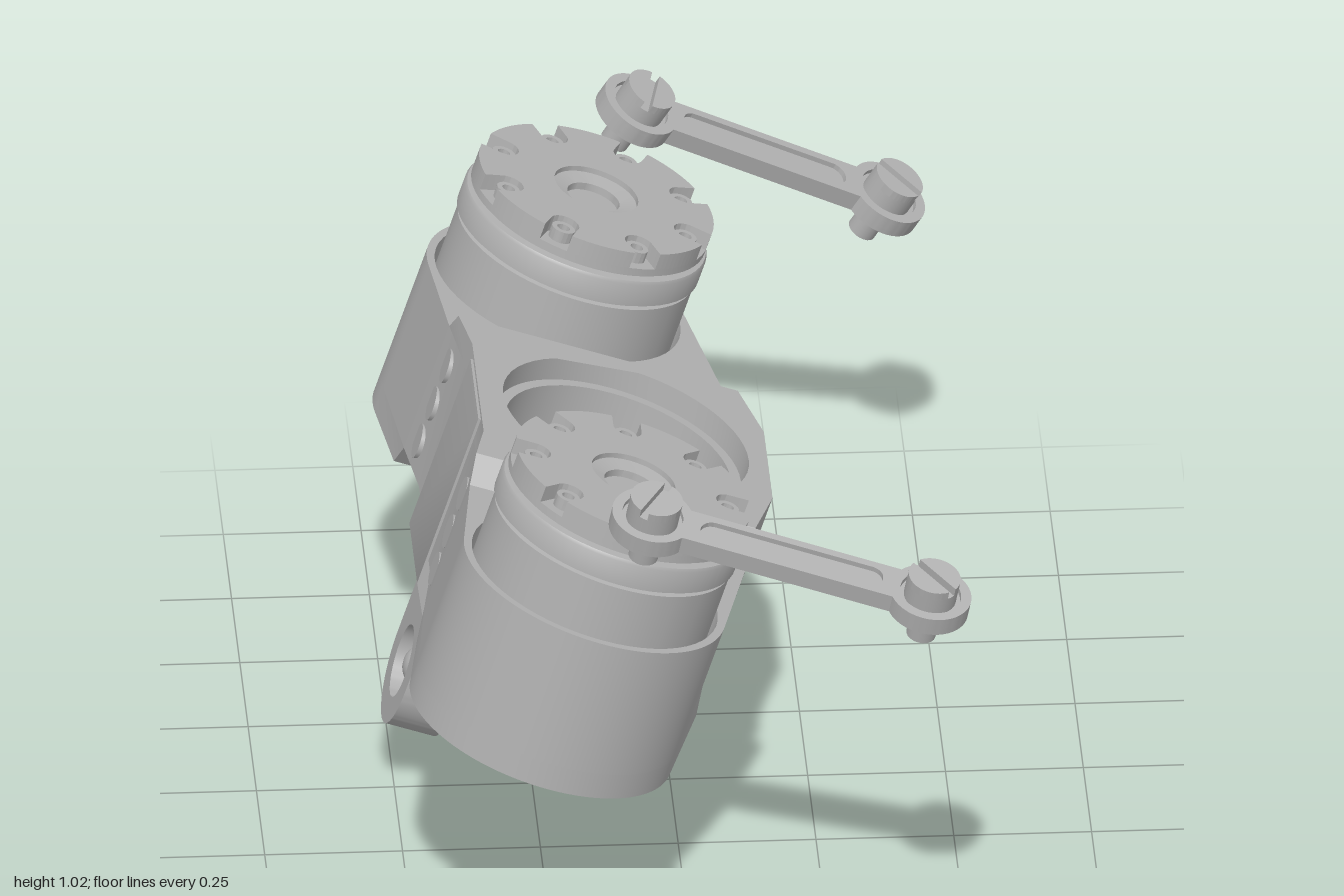
import * as THREE from 'three';
import { toCreasedNormals } from 'three/addons/utils/BufferGeometryUtils.js';

const grey = new THREE.MeshStandardMaterial({ color: 0xb0b0b0 });
grey.name = 'machined grey';

const TILT = 18.5 * Math.PI / 180;
const MOTOR_X = -0.382, MOTOR_Z = 0.56;

function add(parent, name, geometry, x = 0, y = 0, z = 0) {
  const m = new THREE.Mesh(geometry, grey);
  m.name = name;
  m.position.set(x, y, z);
  parent.add(m);
  return m;
}

function circle(x, y, r) {
  const p = new THREE.Path();
  p.absarc(x, y, r, 0, Math.PI * 2);
  return p;
}

function polygon(points) {
  return new THREE.Shape(points.map(([x, y]) => new THREE.Vector2(x, y)));
}

// Plan shape (x, -z) raised from y0 to y1; an optional rule moves vertices
function slab(shape, y0, y1, rule) {
  const g = new THREE.ExtrudeGeometry(shape, { depth: y1 - y0, bevelEnabled: false, curveSegments: 28 });
  g.rotateX(-Math.PI / 2).translate(0, y0, 0);
  if (rule) {
    const p = g.attributes.position;
    for (let i = 0; i < p.count; i++) p.setZ(i, rule(p.getY(i), p.getZ(i)));
  }
  return toCreasedNormals(g, 0.5);
}

function lathe(points, segments = 48) {
  return toCreasedNormals(new THREE.LatheGeometry(points.map(([x, y]) => new THREE.Vector2(x, y)), segments), 0.5);
}

const socketScrew = lathe([[0.022, 0], [0.022, 0.022], [0.012, 0.022], [0.012, 0.008], [0, 0.008]], 16);

// Housing half around one motor; s = +1 or -1 along the shape's y
function endShape(s, holeRadius) {
  const sh = new THREE.Shape();
  sh.moveTo(-0.605, 0.31 * s);
  sh.lineTo(-0.071, 0.31 * s);
  sh.absarc(MOTOR_X, MOTOR_Z * s, 0.25, 0.225 * s, (Math.PI + 0.13) * s, s < 0);
  sh.holes.push(circle(MOTOR_X, MOTOR_Z * s, holeRadius));
  return sh;
}

function middleShape(holeRadius) {
  const sh = polygon([[-0.605, -0.31], [-0.071, -0.31], [-0.03, -0.13], [-0.03, 0.13],
    [-0.071, 0.31], [-0.605, 0.31], [-0.585, 0.17], [-0.585, -0.17]]);
  sh.holes.push(circle(-0.302, 0, holeRadius));
  return sh;
}

function buildHousing(body) {
  add(body, 'housingMiddle', slab(middleShape(0.215), 0.35, 0.61));
  // raised plateau with sloping shoulders
  add(body, 'housingPlateau', slab(middleShape(0.235), 0.61, 0.655,
    (y, z) => (y > 0.63 && Math.abs(z) > 0.3 ? Math.sign(z) * 0.268 : z)));
  for (const s of [1, -1]) {
    add(body, 'housingEnd', slab(endShape(s, 0.235), 0.35, 0.61));
    add(body, 'housingFoot', slab(endShape(s, 0.2), 0.3, 0.35,
      (y, z) => (y < 0.32 && Math.abs(z) < 0.32 ? Math.sign(z) * 0.35 : z)));
    // column of three round fittings on the outer wall
    for (let i = 0; i < 3; i++) {
      const g = new THREE.CylinderGeometry(0.032, 0.032, 0.02, 20).rotateZ(Math.PI / 2);
      add(body, 'wallFitting', g, -0.59, 0.4 + i * 0.08, s * 0.25);
    }
    add(body, 'boreBolt', new THREE.CylinderGeometry(0.025, 0.025, 0.05, 16), -0.14, 0.36, s * 0.14);
  }
}

// Top disc with eight rim notches
function notchedDisc() {
  const sh = new THREE.Shape(), step = Math.PI / 4, d = 0.122;
  for (let k = 0; k < 8; k++) {
    const t = k * step;
    sh.absarc(0.185 * Math.cos(t), 0.185 * Math.sin(t), 0.027, t - Math.PI / 2, t + Math.PI / 2, true);
    sh.absarc(0, 0, 0.224, t + d, t + step - d, false);
  }
  sh.holes.push(circle(0, 0, 0.08));
  return slab(sh, 0.8, 0.832);
}

function buildMotor(turn) {
  const motor = new THREE.Group();
  motor.name = 'motor';
  add(motor, 'motorCan', lathe([[0, 0.315], [0.226, 0.315], [0.226, 0.715], [0.216, 0.717], [0.216, 0.724],
    [0.231, 0.726], [0.231, 0.77], [0.228, 0.776], [0.212, 0.778], [0.212, 0.784], [0.224, 0.786],
    [0.224, 0.8], [0, 0.8]], 64));
  add(motor, 'motorDisc', notchedDisc());
  add(motor, 'hubRing', lathe([[0.08, 0.8], [0.08, 0.822], [0.05, 0.815], [0.05, 0.801]], 32));
  for (let k = 0; k < 8; k++) {
    const t = k * Math.PI / 4;
    add(motor, 'discScrew', socketScrew, 0.183 * Math.cos(t), 0.8, 0.183 * Math.sin(t));
  }
  // underside bosses and dome screws
  add(motor, 'bottomHub', new THREE.CylinderGeometry(0.045, 0.045, 0.025, 24), 0, 0.307, 0);
  for (let k = 0; k < 4; k++) {
    const t = (k + 0.5) * Math.PI / 2 + turn;
    add(motor, 'bottomBoss', new THREE.CylinderGeometry(0.025, 0.025, 0.02, 16),
      0.12 * Math.cos(t), 0.31, 0.12 * Math.sin(t));
    const dome = add(motor, 'domeScrew', new THREE.SphereGeometry(0.036, 16, 10),
      0.205 * Math.cos(t), 0.302, 0.205 * Math.sin(t));
    dome.scale.y = 0.5;
  }
  motor.rotation.y = turn;
  return motor;
}

// Leg with an eye at the bottom; neck is its side profile up into the housing,
// taper thins the outer face towards the tip
function buildBracket(name, x0, x1, neck, inward, taper) {
  const leg = new THREE.Group(), R = 0.117, cy = 0.085;
  leg.name = name;
  const eye = new THREE.Shape();
  eye.moveTo(R, 0.2);
  eye.lineTo(-R, 0.2);
  eye.absarc(0, cy, R, Math.PI, Math.PI * 2);
  eye.holes.push(circle(0, cy, 0.068));
  const g = new THREE.ExtrudeGeometry(eye, { depth: x1 - x0, bevelEnabled: false, curveSegments: 24 });
  g.rotateY(Math.PI / 2);
  const p = g.attributes.position;
  for (let i = 0; i < p.count; i++) {
    if (p.getX(i) > 0.01) p.setX(i, p.getX(i) - taper * Math.max(0, 0.068 - p.getY(i)));
  }
  add(leg, 'bracketEye', toCreasedNormals(g, 0.5), x0, 0, 0);
  const n = new THREE.ExtrudeGeometry(polygon(neck), { depth: 2 * R, bevelEnabled: false });
  add(leg, 'bracketNeck', toCreasedNormals(n, 0.5), 0, 0, -R);
  // pivot ball held by a clip on the inner face
  const face = inward > 0 ? x1 : x0, mid = (x0 + x1) / 2;
  add(leg, 'pivotBall', new THREE.SphereGeometry(0.044, 20, 14), mid, cy, 0);
  add(leg, 'pivotPin', new THREE.CylinderGeometry(0.02, 0.02, 0.09, 16).rotateZ(Math.PI / 2),
    mid + inward * 0.01, cy, 0);
  add(leg, 'pivotClip', new THREE.BoxGeometry(0.012, 0.045, 0.15), face + inward * 0.005, cy + 0.025, 0);
  add(leg, 'clipScrew', new THREE.CylinderGeometry(0.02, 0.02, 0.04, 16).rotateZ(Math.PI / 2),
    face + inward * 0.008, 0.155, -0.08);
  return leg;
}

// Slotted screw standing on y = 0, with its stud hanging below
function buildScrew(turn) {
  const s = new THREE.Group();
  s.name = 'slottedScrew';
  add(s, 'screwHead', new THREE.CylinderGeometry(0.048, 0.048, 0.034, 28), 0, 0.017, 0);
  const half = new THREE.Shape(), t = Math.asin(0.008 / 0.048);
  half.absarc(0, 0, 0.048, t, Math.PI - t);
  const g = slab(half, 0.034, 0.05);
  add(s, 'screwHeadHalf', g);
  add(s, 'screwHeadHalf', g).rotation.y = Math.PI;
  add(s, 'screwStud', new THREE.CylinderGeometry(0.027, 0.027, 0.09, 20), 0, -0.045, 0);
  s.rotation.y = turn;
  return s;
}

function buildArm(name, from, to, up) {
  const arm = new THREE.Group();
  arm.name = name;
  const dir = to.clone().sub(from), L = dir.length(), R = 0.075, w = 0.04;
  dir.normalize();
  const t = Math.asin(w / R);
  const bone = () => {
    const sh = new THREE.Shape();
    sh.absarc(0, 0, R, t, Math.PI * 2 - t);
    sh.absarc(L, 0, R, -Math.PI + t, Math.PI - t);
    return sh;
  };
  add(arm, 'armPlate', slab(bone(), -0.008, 0.008));
  // raised rims around the slot and both eyes, above and below
  const rim = bone();
  rim.holes.push(circle(0, 0, 0.056), circle(L, 0, 0.056));
  const slot = new THREE.Path();
  slot.absarc(0.115, 0, 0.025, Math.PI / 2, Math.PI * 1.5);
  slot.absarc(L - 0.115, 0, 0.025, -Math.PI / 2, Math.PI / 2);
  slot.closePath();
  rim.holes.push(slot);
  add(arm, 'armRim', slab(rim, 0.008, 0.018));
  add(arm, 'armRim', slab(rim, -0.018, -0.008));
  const a = buildScrew(1.3), b = buildScrew(-0.6);
  b.position.x = L;
  a.position.y = b.position.y = 0.008;
  arm.add(a, b);
  // orient: x along the arm, y close to the given up direction
  const z = new THREE.Vector3().crossVectors(dir, up).normalize();
  const y = new THREE.Vector3().crossVectors(z, dir);
  arm.quaternion.setFromRotationMatrix(new THREE.Matrix4().makeBasis(dir, y, z));
  arm.position.copy(from);
  return arm;
}

export function createModel() {
  const root = new THREE.Group();
  root.name = 'twinMotorBracket';
  const body = new THREE.Group();
  body.name = 'tiltedBody';
  body.position.z = -0.02;
  body.rotation.z = -TILT;
  root.add(body);

  buildHousing(body);
  for (const [s, turn] of [[1, 0], [-1, Math.PI / 8]]) {
    const m = buildMotor(turn);
    m.position.set(MOTOR_X, 0, s * MOTOR_Z);
    body.add(m);
  }
  body.add(buildBracket('outerBracket', -0.54, -0.446,
    [[-0.54, 0.199], [-0.446, 0.199], [-0.473, 0.24], [-0.54, 0.296], [-0.56, 0.35], [-0.56, 0.65],
      [-0.59, 0.65], [-0.59, 0.3]], 1, 0));
  body.add(buildBracket('innerBracket', -0.167, -0.076,
    [[-0.167, 0.199], [-0.076, 0.199], [-0.038, 0.28], [-0.031, 0.305], [-0.031, 0.36], [-0.087, 0.36],
      [-0.087, 0.316]], -1, 0.34));

  const V = (x, y, z) => new THREE.Vector3(x, y, z);
  root.add(buildArm('frontArm', V(-0.082, 0.952, 0.8), V(0.415, 0.838, 0.915), V(0.32, 0.9, 0.27)));
  root.add(buildArm('backArm', V(-0.01, 0.932, -0.84), V(0.444, 0.695, -0.92), V(0.42, 0.88, 0.22)));
  return root;
}
